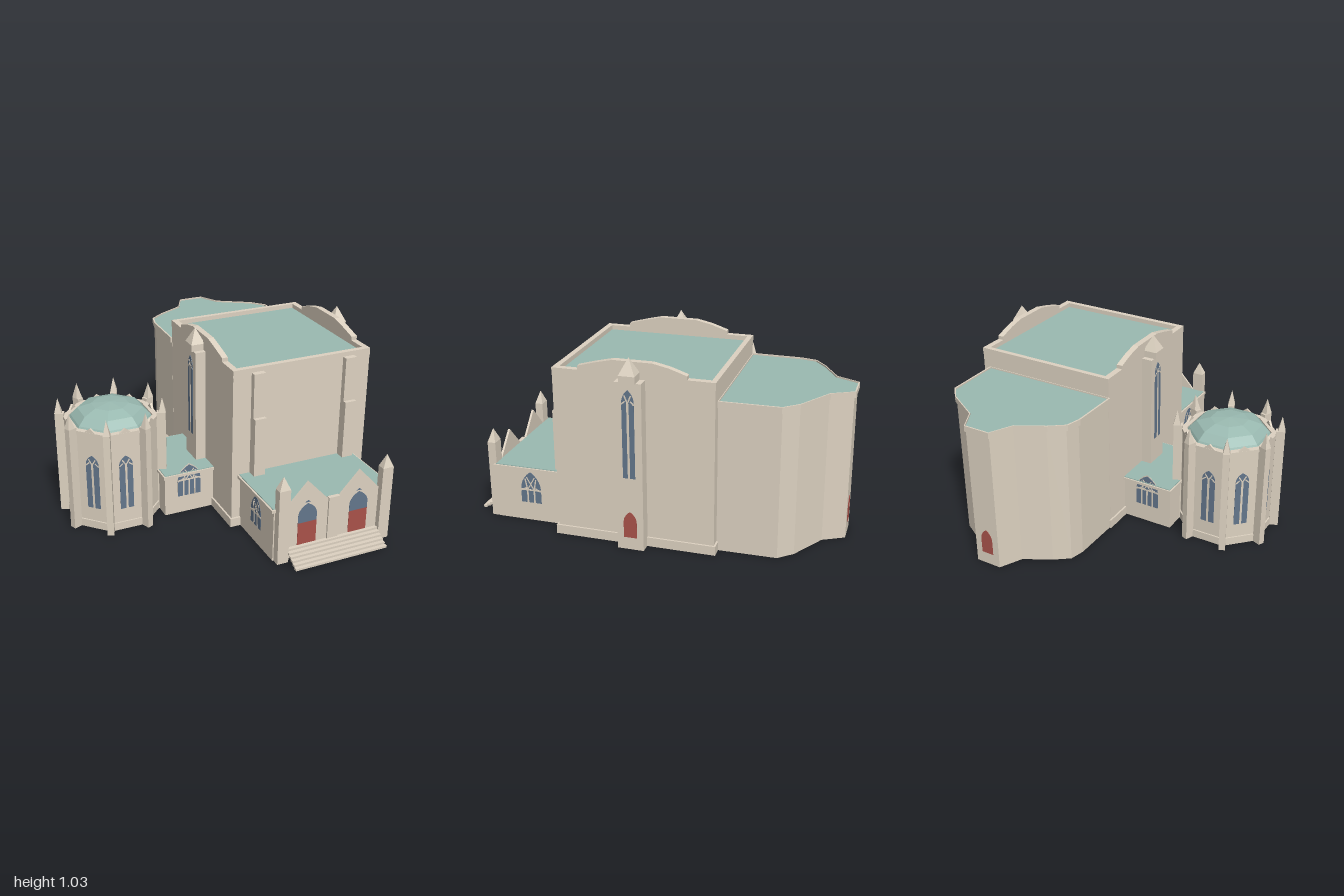
import * as THREE from 'three';

const mat = (name, color, side = THREE.FrontSide) => {
  const m = new THREE.MeshStandardMaterial({ color, side });
  m.name = name;
  return m;
};

export function createModel() {
  const stone = mat('stone', 0xddd2c1, THREE.DoubleSide), copper = mat('copper roof', 0x9abab1, THREE.DoubleSide);
  const glass = mat('window glass', 0x63768c), wood = mat('door red', 0xa9524a);
  const root = new THREE.Group();
  root.name = 'church';

  const add = (parent, name, geo, m) => {
    const mesh = new THREE.Mesh(geo, m);
    mesh.name = name;
    parent.add(mesh);
    return mesh;
  };
  // Box given by its limits on each axis
  const box = (parent, name, m, x0, x1, y0, y1, z0, z1) => {
    const mesh = add(parent, name, new THREE.BoxGeometry(x1 - x0, y1 - y0, z1 - z0), m);
    mesh.position.set((x0 + x1) / 2, (y0 + y1) / 2, (z0 + z1) / 2);
    return mesh;
  };
  // Hollow box, open at the bottom
  const shell = (...args) => {
    const geo = box(...args).geometry;
    geo.setIndex([...geo.index.array].filter((v, i) => i < 18 || i >= 24));
    geo.clearGroups();
  };
  const polygon = pts => new THREE.Shape(pts.map(p => new THREE.Vector2(p[0], p[1])));
  const extrude = (shape, depth) =>
    new THREE.ExtrudeGeometry(shape, { depth, bevelEnabled: false, curveSegments: 5 });
  // Plan shape (x, -z) raised from y0 to y1
  const slab = (parent, name, shape, y0, y1, m) => {
    const s = add(parent, name, extrude(shape, y1 - y0), m);
    s.rotation.x = -Math.PI / 2;
    s.position.y = y0;
  };
  const ring = (outer, inner) => {
    const s = polygon(outer);
    s.holes.push(polygon(inner));
    return s;
  };
  const group = (parent, name, x, y, z, turn = 0) => {
    const g = new THREE.Group();
    g.name = name;
    g.position.set(x, y, z);
    g.rotation.y = turn;
    parent.add(g);
    return g;
  };
  // Pointed arch standing on y = 0, s = height where the arch springs
  const arch = (w, h, s) => {
    const a = new THREE.Shape();
    a.moveTo(-w / 2, 0);
    a.lineTo(w / 2, 0);
    a.lineTo(w / 2, s);
    a.quadraticCurveTo(w / 2, s + (h - s) * 0.6, 0, h);
    a.quadraticCurveTo(-w / 2, s + (h - s) * 0.6, -w / 2, s);
    return a;
  };
  const bar = (g, x0, y0, x1, y1, t) => {
    const b = add(g, 'tracery', new THREE.BoxGeometry(t, Math.hypot(x1 - x0, y1 - y0), 0.002), stone);
    b.position.set((x0 + x1) / 2, (y0 + y1) / 2, 0.0025);
    b.rotation.z = -Math.atan2(x1 - x0, y1 - y0);
  };
  // Window with upright lights and crossed tracery in the head
  const gothicWindow = (parent, x, y, z, turn, w, h, s, lights) => {
    const g = group(parent, 'window', x, y, z, turn);
    add(g, 'glass', extrude(arch(w, h, s), 0.002), glass);
    for (let i = 1; i < lights; i++)
      bar(g, -w / 2 + i * w / lights, 0, -w / 2 + i * w / lights, s, lights === 2 ? 0.012 : 0.009);
    for (const k of [-1, 1]) {
      const start = lights === 2 ? 0 : k * w / 6;
      bar(g, start, s, k * w * 0.27, s + (h - s) * 0.6, 0.007);
      bar(g, k * w / 2, s - 0.006, k * w * 0.22, s + 0.012, 0.007);
      if (lights > 2) bar(g, start, s, -k * w * 0.2, s + (h - s) * 0.7, 0.006);
    }
    if (lights > 2) bar(g, -w / 2, s, w / 2, s, 0.009);
  };
  const door = (parent, x, y, z, turn) =>
    add(group(parent, 'door', x, y, z, turn), 'doorLeaf', extrude(arch(0.07, 0.145, 0.085), 0.002), wood);
  // Four-sided spire with its base centred at x, z
  const spire = (parent, x, y, z, wx, wz, h) => {
    const geo = new THREE.ConeGeometry(Math.SQRT1_2, 1, 4, 1).toNonIndexed();
    geo.rotateY(Math.PI / 4);
    geo.scale(wx, h, wz);
    geo.computeVertexNormals();
    add(parent, 'spire', geo, stone).position.set(x, y + h / 2, z);
  };

  // Main hall with plinth, flat roof and parapets
  const hall = group(root, 'mainHall', 0, 0, 0);
  const rect = (x0, x1, z0, z1) => [[x0, -z0], [x1, -z0], [x1, -z1], [x0, -z1]];
  shell(hall, 'walls', stone, -0.045, 0.775, 0, 0.89, -0.37, 0.472);
  slab(hall, 'plinth', ring(rect(-0.055, 0.785, -0.38, 0.485), rect(-0.044, 0.774, -0.369, 0.471)), 0, 0.05, stone);
  box(hall, 'roof', copper, -0.015, 0.745, 0.885, 0.9, -0.35, 0.445);
  box(hall, 'frontParapet', stone, -0.045, 0.775, 0.885, 0.925, 0.443, 0.473);
  box(hall, 'backParapet', stone, -0.045, 0.775, 0.885, 0.925, -0.372, -0.345);
  const crest = polygon([[-0.473, 0.885], [0.372, 0.885], [0.372, 0.925], [0.23, 0.925], [0.23, 0.945],
    [0.14, 0.975], [0.055, 0.993], [-0.15, 0.993], [-0.24, 0.972], [-0.335, 0.946], [-0.335, 0.925], [-0.473, 0.925]]);
  for (const x of [-0.046, 0.742]) {
    const side = add(hall, 'sideParapet', extrude(crest, 0.034), stone);
    side.rotation.y = Math.PI / 2;
    side.position.x = x;
  }
  for (const x of [0.06, 0.608]) {
    shell(hall, 'lowerButtress', stone, x, x + 0.067, 0, 0.65, 0.473, 0.527);
    box(hall, 'upperButtress', stone, x, x + 0.067, 0.65, 0.9, 0.473, 0.505);
  }

  // Side turrets with a tall window and a spire
  for (const k of [-1, 1]) {
    const g = group(root, 'sideTurret', 0.367 + k * 0.43, 0, 0.052);
    shell(g, 'shaft', stone, k > 0 ? -0.021 : -0.043, k > 0 ? 0.043 : 0.017, 0, 0.905, -0.07, 0.07);
    box(g, 'spireBase', stone, k * 0.015 - 0.04, k * 0.015 + 0.04, 0.905, 0.942, -0.042, 0.042);
    spire(g, k * 0.015, 0.942, 0, 0.08, 0.084, 0.085);
    gothicWindow(g, k * 0.043, 0.4, 0, k * Math.PI / 2, 0.064, 0.47, 0.4, 2);
    door(g, k * 0.043, 0.068, 0, k * Math.PI / 2);
  }

  // Rear apse: hollow walls on a curved plan, thin rim around the roof
  const plan = [[-0.045, -0.371], [-0.04, -0.65], [-0.02, -0.73], [0.06, -0.79], [0.205, -0.868], [0.265, -0.988],
    [0.41, -0.988], [0.47, -0.873], [0.655, -0.76], [0.72, -0.685], [0.725, -0.371]];
  const outline = (k, edge = -0.371) =>
    plan.map(([x, z]) => [0.34 + (x - 0.34) * k, -(z < -0.4 ? -0.68 + (z + 0.68) * k : edge)]);
  const apse = group(root, 'apse', 0, 0, 0);
  slab(apse, 'walls', ring(outline(1), outline(0.985, -0.375)), 0, 0.79, stone);
  slab(apse, 'roof', polygon(outline(1.01)), 0.788, 0.81, copper);
  slab(apse, 'rim', ring(outline(1.03), outline(1.006, -0.375)), 0.785, 0.818, stone);
  door(apse, 0.337, 0.068, -0.988, Math.PI);

  // Entrance porch
  const porch = group(root, 'porch', 0, 0, 0);
  shell(porch, 'walls', stone, 0.005, 0.685, 0, 0.3, 0.473, 0.866);
  box(porch, 'cornice', stone, -0.012, 0.697, 0.294, 0.31, 0.473, 0.878);
  box(porch, 'roof', copper, -0.002, 0.688, 0.308, 0.314, 0.473, 0.868);
  box(porch, 'middlePier', stone, 0.315, 0.38, 0, 0.315, 0.866, 0.888);
  for (const k of [-1, 1]) {
    const g = group(porch, 'portal', 0.3475 + k * 0.153, 0, 0.867);
    add(g, 'gable', extrude(polygon([[-0.121, 0], [0.121, 0], [0.121, 0.307], [0, 0.437], [-0.121, 0.307]]), 0.012),
      stone);
    const top = group(g, 'portalWindow', 0, 0.2, 0.012);
    add(top, 'glass', extrude(arch(0.11, 0.11, 0.04), 0.002), glass);
    add(top, 'glassTip', extrude(polygon([[-0.017, 0.117], [0.017, 0.117], [0, 0.128]]), 0.002), glass);
    box(g, 'portalDoor', wood, -0.055, 0.055, 0.07, 0.2, 0.01, 0.014);
    const tx = 0.3475 + k * 0.304;
    box(porch, 'cornerTurret', stone, tx - 0.032, tx + 0.032, 0, 0.43, 0.865, 0.91);
    spire(porch, tx, 0.43, 0.8875, 0.064, 0.045, 0.072);
    gothicWindow(porch, k > 0 ? 0.685 : 0.005, 0.105, 0.67, k * Math.PI / 2, 0.115, 0.18, 0.075, 3);
  }
  for (let i = 0; i < 6; i++)
    shell(porch, 'step', stone, 0.073, 0.62, i * 0.0117, (i + 1) * 0.0117, 0.98 - i * 0.02, 1 - i * 0.02);

  // Link wing between the hall and the chapel
  const wing = group(root, 'linkWing', 0, 0, 0);
  shell(wing, 'walls', stone, -0.338, -0.046, 0, 0.24, -0.21, 0.225);
  box(wing, 'cornice', stone, -0.347, -0.046, 0.235, 0.25, -0.225, 0.24);
  box(wing, 'roof', copper, -0.338, -0.046, 0.248, 0.254, -0.217, 0.232);
  for (const [z, turn] of [[0.225, 0], [-0.21, Math.PI]]) {
    const g = group(wing, 'windowBay', -0.193, 0.105, z, turn);
    add(g, 'windowGable', extrude(arch(0.143, 0.197, 0.1), 0.002), stone);
    gothicWindow(g, 0, 0, 0.002, 0, 0.137, 0.19, 0.1, 4);
  }

  // Octagonal chapel, hollow, with windows on the sides away from the wing
  const chapel = group(root, 'octagonChapel', -0.57, 0, 0.022);
  const toR = 1 / Math.cos(Math.PI / 8);
  const octagon = (name, profile, m) => {
    const geo = new THREE.LatheGeometry(profile.map(p => new THREE.Vector2(p[0] * toR, p[1])), 8, Math.PI / 8)
      .toNonIndexed();
    geo.computeVertexNormals();
    add(chapel, name, geo, m);
  };
  octagon('walls', [[0.234, 0], [0.234, 0.575]], stone);
  octagon('plinth', [[0.233, 0], [0.242, 0], [0.242, 0.045], [0.233, 0.045]], stone);
  octagon('parapet', [[0.23, 0.567], [0.243, 0.567], [0.243, 0.583], [0.212, 0.583], [0.212, 0.56]], stone);
  octagon('dome', [[0.215, 0.565], [0.202, 0.59], [0.165, 0.63], [0.095, 0.655], [0, 0.664]], copper);
  for (let i = 0; i < 8; i++) {
    const face = group(chapel, 'chapelFace', 0, 0, 0, i * Math.PI / 4);
    if (i === 0 || i > 3) gothicWindow(face, 0, 0.125, 0.234, 0, 0.076, 0.32, 0.265, 2);
    const peak = add(face, 'parapetPeak', extrude(polygon([[-0.035, 0.58], [0.035, 0.58], [0, 0.608]]), 0.012), stone);
    peak.position.z = 0.23;
    const corner = group(chapel, 'cornerPinnacle', 0, 0, 0, (i + 0.5) * Math.PI / 4);
    box(corner, 'shaft', stone, -0.018, 0.018, 0, 0.6, 0.252, 0.302);
    spire(corner, 0, 0.6, 0.283, 0.038, 0.04, 0.086);
  }
  return root;
}
